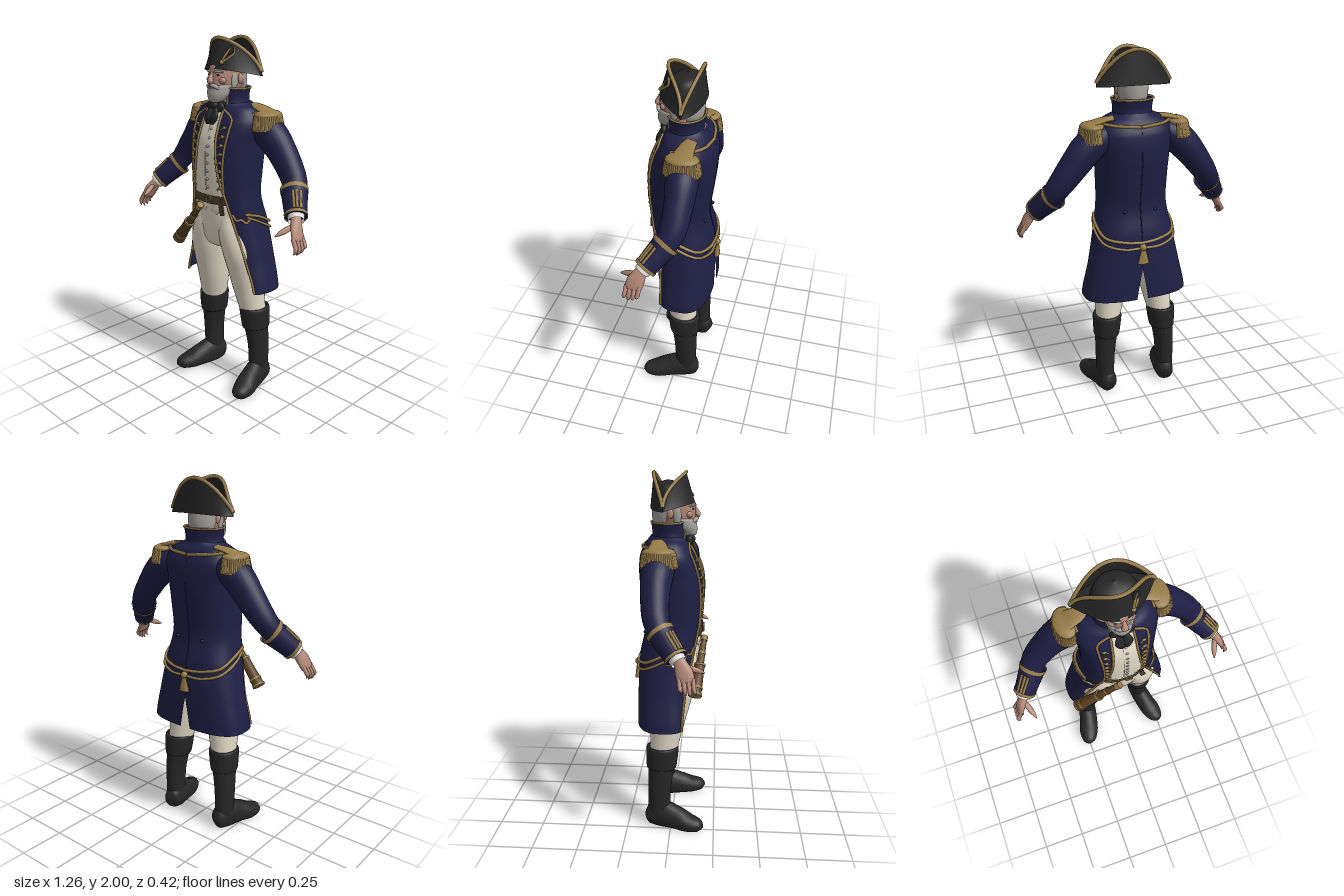
import * as THREE from 'three';
import { mergeGeometries } from 'three/addons/utils/BufferGeometryUtils.js';
import { ParametricGeometry } from 'three/addons/geometries/ParametricGeometry.js';

const V = (x, y, z) => new THREE.Vector3(x, y, z);
const lerp = THREE.MathUtils.lerp, PI = Math.PI;

// Smooth interpolation through a list of section rows, s = fractional row index
function sample(rows, s) {
  const n = rows.length - 1, i = Math.max(0, Math.min(Math.floor(s), n - 1)), t = s - i;
  const g = k => rows[Math.max(0, Math.min(n, k))];
  return rows[i].map((b, k) => {
    const a = g(i - 1)[k], c = g(i + 1)[k], d = g(i + 2)[k];
    return 0.5 * (2 * b + (c - a) * t + (2 * a - 5 * b + 4 * c - d) * t * t + (3 * b - a - 3 * c + d) * t * t * t);
  });
}
// Point on a horizontal section [y, cx, cz, rx, rz, power]; angle 0 is the front
function ring([y, cx, cz, rx, rz, p = 2], a, off = 0) {
  const f = v => Math.sign(v) * Math.abs(v) ** (2 / p);
  return V(cx + (Math.max(rx, 0.001) + off) * f(Math.sin(a)), y, cz + (Math.max(rz, 0.001) + off) * f(Math.cos(a)));
}
// Skin over horizontal sections listed bottom to top
function loft(rows, a0 = 0, a1 = 2 * PI, slices = 32, per = 5) {
  const n = rows.length - 1;
  return new ParametricGeometry((u, v, o) => o.copy(ring(sample(rows, v * n), lerp(a0, a1, u))), slices, n * per);
}
// Skin along a bent path, rows [x, y, z, radius toward ref, radius across]
function limb(rows, ref = V(0, 1, 0), slices = 16, per = 5, floor = -9) {
  const n = rows.length - 1;
  return new ParametricGeometry((u, v, o) => {
    const s = v * n, c = sample(rows, s), e = 0.01;
    const T = V(...sample(rows, Math.min(n, s + e))).sub(V(...sample(rows, Math.max(0, s - e)))).normalize();
    const B = T.clone().cross(ref).normalize(), A = B.clone().cross(T), a = u * 2 * PI;
    o.set(c[0], c[1], c[2]).addScaledVector(A, Math.max(c[3], 0.001) * Math.cos(a))
      .addScaledVector(B, Math.max(c[4], 0.001) * Math.sin(a));
    o.y = Math.max(o.y, floor);
  }, slices, n * per);
}
const cord = (pts, r = 0.007, n = 40) => new THREE.TubeGeometry(new THREE.CatmullRomCurve3(pts), n, r, 6);
const ball = (x, y, z, rx, ry = rx, rz = rx) => new THREE.SphereGeometry(1, 16, 12).scale(rx, ry, rz).translate(x, y, z);
function rod(a, b, r0, r1 = r0) {
  const d = b.clone().sub(a), q = new THREE.Quaternion().setFromUnitVectors(V(0, 1, 0), d.clone().normalize());
  return new THREE.CylinderGeometry(r1, r0, d.length(), 14).applyQuaternion(q).translate(...a.clone().add(b).multiplyScalar(0.5));
}
function mirrored(geo) {
  const g = geo.clone().scale(-1, 1, 1), ix = g.index.array;
  for (let i = 0; i < ix.length; i += 3) [ix[i], ix[i + 1]] = [ix[i + 1], ix[i]];
  return g;
}

// Coat sections: y, cx, cz, rx, rz, power, half width of front opening
const COAT = [
  [0.62, 0, -0.04, 0.305, 0.157, 2.8, 0.265], [0.8, 0, -0.04, 0.265, 0.155, 2.7, 0.21],
  [1.0, 0, -0.02, 0.225, 0.165, 2.5, 0.16], [1.15, 0, 0.005, 0.2, 0.16, 2.3, 0.12],
  [1.3, 0, 0.002, 0.2, 0.172, 2.3, 0.082], [1.45, 0, -0.01, 0.208, 0.176, 2.3, 0.064],
  [1.56, 0, -0.026, 0.22, 0.154, 2.4, 0.058], [1.63, 0, -0.03, 0.185, 0.12, 2.3, 0.054],
  [1.665, 0, -0.025, 0.1, 0.095, 2, 0.05],
];
function coatAt(y) {
  let i = 0;
  while (i < COAT.length - 2 && y > COAT[i + 1][0]) i++;
  const r = sample(COAT, i + (y - COAT[i][0]) / (COAT[i + 1][0] - COAT[i][0]));
  r[0] = y;
  return r;
}
const coatAngle = (r, x) => Math.asin(Math.min(1, (x / r[3]) ** (r[5] / 2)));
const onCoat = (a, y, off = 0.004) => ring(coatAt(y), a, off);
const onFront = (x, y, off = 0.004) => onCoat(coatAngle(coatAt(y), x), y, off);

export function createModel() {
  const group = new THREE.Group();
  group.name = 'navalOfficer';
  const mat = (name, color) => {
    const m = new THREE.MeshStandardMaterial({ color, side: THREE.DoubleSide });
    m.name = name;
    return m;
  };
  const navy = mat('navyCloth', 0x1f1f45), gold = mat('goldBraid', 0x967b48), cream = mat('creamCloth', 0xe3dbc8),
    black = mat('blackLeather', 0x262626), grey = mat('greyHair', 0xa5a29d), skin = mat('skin', 0xb58a78),
    brown = mat('brownWood', 0x5d4223), belt = mat('beltLeather', 0x50432f), white = mat('whiteLinen', 0xdedede);
  const add = (name, geo, m) => {
    const mesh = new THREE.Mesh(geo, m);
    mesh.name = name;
    group.add(mesh);
  };
  const pair = (name, geo, m) => { add('left' + name, geo, m); add('right' + name, mirrored(geo), m); };

  // Boots
  pair('Foot', limb([[0.175, 0.04, -0.142, 0.01, 0.01], [0.18, 0.045, -0.125, 0.055, 0.045], [0.19, 0.06, -0.06, 0.09, 0.056],
    [0.21, 0.045, 0.03, 0.075, 0.06], [0.232, 0.03, 0.1, 0.055, 0.062], [0.25, 0.025, 0.165, 0.035, 0.042],
    [0.255, 0.02, 0.19, 0.004, 0.006]], V(0, 1, 0), 24, 5, 0), black);
  pair('BootShaft', loft([[0.04, 0.19, -0.07, 0.05, 0.066], [0.12, 0.19, -0.068, 0.052, 0.064], [0.25, 0.188, -0.065, 0.057, 0.067],
    [0.38, 0.175, -0.055, 0.066, 0.077]]), black);
  pair('BootCuff', loft([[0.365, 0.175, -0.055, 0.066, 0.075], [0.37, 0.175, -0.055, 0.075, 0.086],
    [0.48, 0.168, -0.05, 0.083, 0.092], [0.488, 0.168, -0.05, 0.065, 0.075]]), black);

  // Trousers
  pair('TrouserLeg', loft([[0.46, 0.162, -0.045, 0.07, 0.078], [0.6, 0.145, -0.025, 0.088, 0.093], [0.72, 0.137, -0.008, 0.099, 0.108],
    [0.84, 0.125, 0.01, 0.106, 0.122], [0.96, 0.1, 0.015, 0.105, 0.128], [1.05, 0.085, 0.01, 0.09, 0.12]]), cream);
  add('breeches', loft([[0.845, 0, 0.01, 0.04, 0.07], [0.88, 0, 0.01, 0.13, 0.115], [0.97, 0, 0.012, 0.185, 0.132],
    [1.08, 0, 0.01, 0.18, 0.14], [1.16, 0, 0.005, 0.17, 0.145]]), cream);

  // Waistcoat, its points, buttons and belt
  add('waistcoat', loft(COAT.slice(3).map(([y, x, z, a, b, p]) => [y, x, z, a - 0.012, b - 0.008, p]), 0, 2 * PI, 40), cream);
  pair('WaistcoatPoint', limb([[0.045, 1.15, 0.135, 0.02, 0.05], [0.045, 1.09, 0.138, 0.018, 0.038], [0.04, 1.05, 0.138, 0.004, 0.004]], V(0, 0, 1)), cream);
  const buttons = [];
  for (let i = 0; i < 8; i++) {
    const p = onFront(0, 1.21 + i * 0.045, -0.008);
    buttons.push(ball(0.008, p.y, p.z, 0.008, 0.008, 0.006));
  }
  add('waistcoatButtons', mergeGeometries(buttons), grey);
  add('waistcoatSeam', cord([1.19, 1.3, 1.4, 1.5, 1.56].map(y => V(-0.008, y, onFront(0, y, -0.008).z)), 0.002), grey);
  add('belt', loft([[1.12, 0, 0.005, 0.186, 0.159, 2.3], [1.17, 0, 0.005, 0.186, 0.163, 2.3]], -0.75, 0.75), belt);
  add('buckle', new THREE.TorusGeometry(0.026, 0.006, 6, 4).rotateZ(PI / 4).translate(0.02, 1.145, 0.17), gold);
  add('beltEnd', new THREE.BoxGeometry(0.028, 0.09, 0.008).rotateZ(0.25).translate(0.1, 1.11, 0.152), belt);

  // Coat: two halves, open in front and slit at the back of the skirt
  pair('CoatHalf', new ParametricGeometry((u, v, o) => {
    const y = lerp(0.62, 1.665, v), r = coatAt(y);
    o.copy(ring(r, lerp(coatAngle(r, r[6]), PI - Math.max(0, 0.8 - y) * 0.25, u)));
  }, 32, 48), navy);
  const edge = [];
  for (let y = 0.625; y < 1.65; y += 0.05) edge.push(onFront(coatAt(y)[6] + 0.004, y));
  pair('CoatEdgeBraid', cord(edge, 0.007, 80), gold);
  pair('LapelBraid', cord([[0.115, 1.19], [0.112, 1.3], [0.118, 1.42], [0.128, 1.53], [0.125, 1.585], [0.06, 1.63]].map(p => onFront(...p)), 0.007), gold);
  const loops = [];
  for (let i = 0; i < 8; i++) {
    const y = 1.22 + i * 0.046, p = onFront(0.1, y, 0.006);
    loops.push(ball(p.x, p.y, p.z, 0.012, 0.01, 0.007), cord([onFront(0.082, y - 0.012), p, onFront(0.115, y)], 0.005, 6));
  }
  pair('LapelButtons', mergeGeometries(loops), gold);
  pair('PocketBraid', cord([[0.75, 1.075], [0.85, 1.04], [1.0, 1.045], [1.15, 1.025], [1.35, 1.05]].map(p => onCoat(...p))), gold);
  pair('ShoulderBraid', cord([[1.3, 1.61], [1.9, 1.62], [2.5, 1.615], [PI, 1.605]].map(p => onCoat(...p, 0.006)), 0.009), gold);
  add('backSeam', cord([0.82, 1.0, 1.15, 1.3, 1.45, 1.58].map(y => onCoat(PI, y, 0)), 0.003), navy);
  pair('WaistButton', ball(...onCoat(2.75, 1.14), 0.01), navy);

  // Hanging cords and tassel at the back
  pair('UpperCord', cord([[1.15, 1.075], [1.6, 1.05], [2.2, 0.995], [2.8, 0.975], [PI, 0.965]].map(p => onCoat(...p, 0.006)), 0.009), gold);
  pair('LowerCord', cord([[1.2, 1.06], [1.6, 1.015], [2.2, 0.96], [2.8, 0.935], [PI, 0.935]].map(p => onCoat(...p, 0.006)), 0.008), gold);
  add('tasselKnot', ball(0, 0.94, -0.2, 0.02), gold);
  add('tassel', new THREE.CylinderGeometry(0.013, 0.034, 0.085, 12).scale(1, 1, 0.5).translate(0, 0.89, -0.203), gold);

  // Collar
  const collar = [[1.62, 0, -0.02, 0.118, 0.1], [1.68, 0, -0.02, 0.108, 0.094], [1.735, 0, -0.022, 0.116, 0.097]];
  pair('Collar', loft(collar, 0.55, PI), navy);
  const rim = [ring(collar[0], 0.55), ring(collar[1], 0.55)];
  for (let a = 0.55; a < 3.2; a += 0.37) rim.push(ring(collar[2], a));
  pair('CollarBraid', cord(rim, 0.006), gold);

  // Arms, cuffs and wrists
  pair('Sleeve', limb([[0.13, 1.55, -0.055, 0.05, 0.06], [0.2, 1.54, -0.06, 0.08, 0.085], [0.27, 1.49, -0.066, 0.088, 0.085],
    [0.34, 1.41, -0.07, 0.08, 0.076], [0.42, 1.305, -0.06, 0.068, 0.07], [0.47, 1.23, -0.025, 0.058, 0.062], [0.53, 1.15, 0.04, 0.052, 0.052]], V(0, 1, 0), 24), navy);
  const A = V(0.452, 1.24, -0.035), B = V(0.54, 1.135, 0.052);
  const cuff = (t0, t1, r0, r1) => limb([t0, t1].map((t, i) => [...A.clone().lerp(B, t), i ? r1 : r0, i ? r1 : r0]), V(0, 1, 0), 24);
  pair('Cuff', cuff(0, 1, 0.071, 0.058), navy);
  pair('CuffLining', cuff(0.97, 1, 0.058, 0.03), navy);
  pair('CuffTopBraid', cuff(-0.03, 0.11, 0.075, 0.073), gold);
  pair('CuffEndBraid', cuff(0.92, 1.02, 0.062, 0.061), gold);
  const bars = [];
  for (let i = 0; i < 3; i++) {
    const n = V(0.45 + i * 0.25, 0.55 - i * 0.25, 0.75 - i * 0.1).projectOnPlane(B.clone().sub(A).normalize()).normalize();
    bars.push(rod(A.clone().lerp(B, 0.25).addScaledVector(n, 0.067), A.clone().lerp(B, 0.9).addScaledVector(n, 0.06), 0.007));
  }
  pair('CuffBars', mergeGeometries(bars), gold);
  pair('ShirtCuff', cuff(0.95, 1.16, 0.044, 0.042), white);

  // Hands
  pair('Palm', limb([[0.53, 1.15, 0.045, 0.028, 0.032], [0.556, 1.115, 0.07, 0.026, 0.034], [0.58, 1.075, 0.09, 0.022, 0.045],
    [0.597, 1.035, 0.103, 0.016, 0.042], [0.6, 1.02, 0.107, 0.004, 0.025]], V(1, 0, 0)), skin);
  const fingers = [limb([[0.56, 1.105, 0.09, 0.01, 0.012], [0.545, 1.085, 0.13, 0.015, 0.016], [0.532, 1.07, 0.165, 0.012, 0.012],
    [0.524, 1.058, 0.192, 0.002, 0.002]], V(0, 1, 0), 10)];
  for (let i = 0; i < 4; i++) {
    const z = 0.068 + i * 0.023, d = [0.015, 0.003, 0, 0.008][i];
    fingers.push(limb([[0.593, 1.05, z, 0.012, 0.011], [0.615, 1.012, z + 0.004, 0.012, 0.011], [0.62, 0.985 + d, z + 0.008, 0.011, 0.01],
      [0.61, 0.966 + d, z + 0.012, 0.002, 0.002]], V(1, 0, 0), 10));
  }
  pair('Fingers', mergeGeometries(fingers), skin);

  // Epaulettes: board, pad and fringe
  pair('EpauletteBoard', limb([[0.125, 1.645, -0.075, 0.012, 0.035], [0.19, 1.634, -0.065, 0.014, 0.046], [0.26, 1.612, -0.06, 0.014, 0.06]]), gold);
  pair('EpaulettePad', ball(0.24, 1.605, -0.06, 0.062, 0.026, 0.088), gold);
  const fringe = [];
  for (let i = 0; i <= 30; i++) {
    const a = lerp(-0.35, PI + 0.35, i / 30), s = Math.sin(a), c = Math.cos(a);
    fringe.push(rod(V(0.237 + 0.058 * s, 1.603, -0.06 + 0.082 * c), V(0.242 + 0.068 * s, 1.525 + 0.008 * (i % 2), -0.06 + 0.092 * c), 0.008, 0.01));
  }
  pair('EpauletteFringe', mergeGeometries(fringe), gold);

  // Neck cloth
  add('neckCloth', loft([[1.59, 0, 0.01, 0.075, 0.09], [1.65, 0, 0.01, 0.07, 0.082], [1.71, 0, 0, 0.068, 0.072]]), black);
  add('neckClothKnot', ball(0, 1.645, 0.098, 0.026, 0.024, 0.022), black);
  pair('NeckClothBow', ball(0.03, 1.64, 0.09, 0.032, 0.028, 0.018), black);
  pair('NeckClothTail', limb([[0.01, 1.64, 0.1, 0.008, 0.012], [0.022, 1.59, 0.125, 0.012, 0.026], [0.012, 1.55, 0.138, 0.004, 0.012]], V(0, 0, 1)), black);
  pair('ShirtCollar', loft([[1.66, 0, 0.002, 0.078, 0.08], [1.712, 0, 0, 0.08, 0.079]], 0.5, 1.5, 8), white);

  // Head
  add('neck', new THREE.CylinderGeometry(0.06, 0.062, 0.14, 20).translate(0, 1.71, -0.01), skin);
  add('head', loft([[1.672, 0, 0.06, 0.015, 0.02], [1.69, 0, 0.045, 0.05, 0.068], [1.74, 0, 0.018, 0.07, 0.1],
    [1.79, 0, 0.008, 0.08, 0.112], [1.85, 0, 0.004, 0.082, 0.11], [1.87, 0, 0, 0.07, 0.09]]), skin);
  add('nose', limb([[0, 1.818, 0.112, 0.008, 0.009], [0, 1.79, 0.126, 0.013, 0.013], [0, 1.773, 0.13, 0.016, 0.018], [0, 1.763, 0.12, 0.004, 0.008]], V(0, 0, 1)), skin);
  pair('Ear', ball(0.084, 1.785, -0.012, 0.01, 0.028, 0.018), skin);
  pair('Cheek', ball(0.042, 1.778, 0.085, 0.026, 0.02, 0.02), skin);
  pair('Eye', ball(0.031, 1.807, 0.106, 0.011, 0.005, 0.007), black);
  pair('Brow', limb([[0.012, 1.82, 0.116, 0.005, 0.006], [0.035, 1.826, 0.111, 0.006, 0.007], [0.06, 1.82, 0.086, 0.003, 0.003]]), grey);
  add('beard', loft([[1.658, 0, 0.09, 0.01, 0.012], [1.67, 0, 0.082, 0.04, 0.042], [1.7, 0, 0.065, 0.062, 0.065], [1.73, 0, 0.05, 0.071, 0.076],
    [1.752, 0, 0.035, 0.073, 0.085], [1.765, 0, 0.02, 0.06, 0.07]]), grey);
  pair('Moustache', limb([[0, 1.755, 0.126, 0.009, 0.012], [0.025, 1.748, 0.118, 0.011, 0.012], [0.05, 1.725, 0.095, 0.003, 0.003]]), grey);
  add('mouth', ball(0, 1.736, 0.122, 0.02, 0.003, 0.008), skin);
  pair('Sideburn', ball(0.073, 1.775, 0.025, 0.012, 0.055, 0.022), grey);
  add('hair', loft([[1.715, 0, -0.03, 0.06, 0.06], [1.73, 0, -0.02, 0.076, 0.088], [1.77, 0, -0.01, 0.086, 0.105], [1.85, 0, 0, 0.09, 0.115]], 1.75, 2 * PI - 1.75), grey);

  // Cocked hat: crown, two upturned flaps, underside and braid
  const flap = (front, t, v) => {
    const T = Math.max(0, 1 - t * t);
    const z = front ? lerp(0.158, 0.11, v) * T ** lerp(1.1, 2, v) : -lerp(0.08, 0.062, v) * T ** lerp(0.6, 1.2, v);
    return V(0.207 * t, lerp(1.803 + (front ? 0.035 : 0.01) * T, 1.825 + 0.168 * T, v), -0.042 + z);
  };
  const flapSkin = f => new ParametricGeometry((u, v, o) => o.copy(f(u * 2 - 1, v)), 40, 10);
  add('hatCrown', loft([[1.83, 0, -0.005, 0.125, 0.1], [1.89, 0, -0.018, 0.11, 0.085], [1.935, 0, -0.025, 0.08, 0.065], [1.955, 0, -0.027, 0.005, 0.005]]), black);
  add('hatUnderside', flapSkin((t, v) => flap(false, t, 0).lerp(flap(true, t, 0), v)), black);
  for (const front of [true, false]) {
    add(front ? 'hatFrontFlap' : 'hatBackFlap', flapSkin((t, v) => flap(front, t, v)), black);
    const pts = [];
    for (let i = -10; i <= 10; i++) pts.push(flap(front, i / 10, 1));
    add(front ? 'hatFrontBraid' : 'hatBackBraid', cord(pts, 0.01, 80), gold);
  }
  const lift = (t, v) => flap(true, t, v).add(V(0, 0, 0.005));
  add('cockade', new THREE.CylinderGeometry(0.024, 0.024, 0.01, 20).rotateX(PI / 2 - 0.3).rotateY(0.4).translate(...lift(0.36, 0.72)), black);
  add('cockadeLoop', cord([lift(0.24, 0.25), lift(0.3, 0.5), lift(0.4, 0.85), lift(0.45, 0.7), lift(0.36, 0.42), lift(0.26, 0.25)], 0.007), gold);
  add('cockadeButton', ball(...lift(0.25, 0.25), 0.012), gold);

  // Spyglass tucked in the belt
  const P = V(-0.035, 1.105, 0.178), Q = V(-0.275, 0.84, 0.135), at = t => P.clone().lerp(Q, t);
  add('spyglassEyepiece', rod(at(0), at(0.08), 0.02), gold);
  add('spyglassDraw', rod(at(0.06), at(0.5), 0.016, 0.022), brown);
  add('spyglassBarrel', rod(at(0.48), at(1), 0.027, 0.034), brown);
  for (const [i, t, r] of [[1, 0.28, 0.022], [2, 0.48, 0.031], [3, 0.86, 0.036], [4, 0.97, 0.038]])
    add('spyglassRing' + i, rod(at(t), at(t + 0.035), r), gold);

  return group;
}
